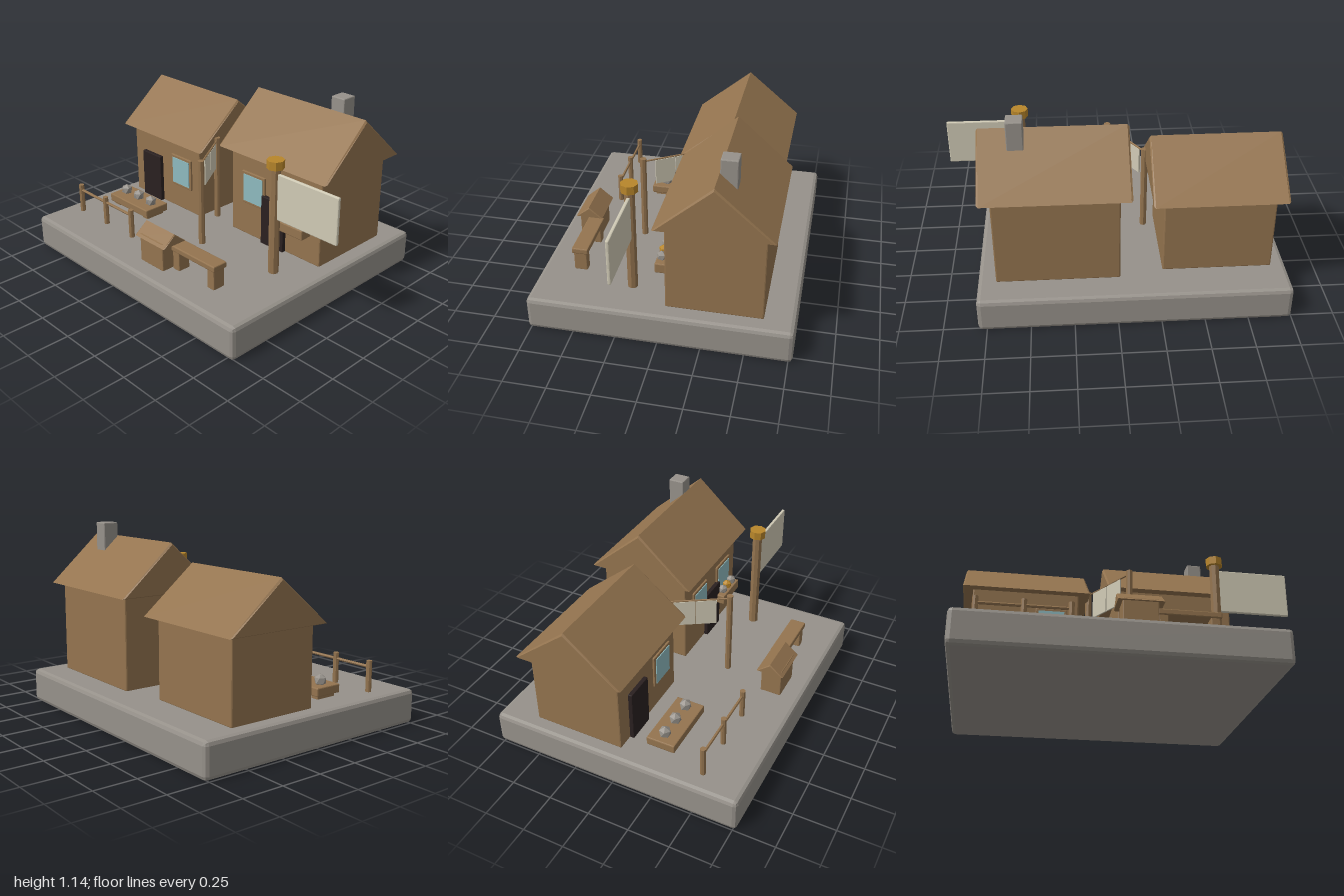
import * as THREE from 'three';
import { RoundedBoxGeometry } from 'three/addons/geometries/RoundedBoxGeometry.js';

const material = (name, color) => {
  const m = new THREE.MeshStandardMaterial({ color, flatShading: true });
  m.name = name;
  return m;
};

export function createModel() {
  const wood = material('brown wood', 0x94744f);
  const stone = material('grey stone', 0x96918a);
  const dark = material('dark door', 0x2a2020);
  const glass = material('pale blue glass', 0x8ebabf);
  const gold = material('gold', 0xb8862b);
  const cloth = material('cream cloth', 0xd0cab5);
  const model = new THREE.Group();
  model.name = 'village';

  const add = (parent, name, geometry, mat, x = 0, y = 0, z = 0) => {
    const mesh = new THREE.Mesh(geometry, mat);
    mesh.name = name;
    mesh.position.set(x, y, z);
    parent.add(mesh);
    return mesh;
  };
  const group = (name) => {
    const g = new THREE.Group();
    g.name = name;
    model.add(g);
    return g;
  };
  // Chamfered box given by its bounds
  const box = (parent, name, mat, [x0, x1], [y0, y1], [z0, z1], bevel = 0.006) => {
    const w = x1 - x0, h = y1 - y0, d = z1 - z0;
    const geo = new RoundedBoxGeometry(w, h, d, 1, Math.min(bevel, w / 3, h / 3, d / 3));
    geo.computeVertexNormals();
    return add(parent, name, geo, mat, (x0 + x1) / 2, (y0 + y1) / 2, (z0 + z1) / 2);
  };
  const post = (parent, name, mat, r, x, z, y0, y1, sides = 8) =>
    add(parent, name, new THREE.CylinderGeometry(r, r, y1 - y0, sides), mat, x, (y0 + y1) / 2, z);
  // Solid gable roof with the ridge along x
  const gable = (parent, name, [x0, x1], [y0, y1], [z0, z1], bevel) => {
    const half = (z1 - z0) / 2;
    const shape = new THREE.Shape();
    shape.moveTo(-half, y0);
    shape.lineTo(half, y0);
    shape.lineTo(0, y1);
    shape.closePath();
    const geo = new THREE.ExtrudeGeometry(shape, {
      depth: x1 - x0 - 2 * bevel, bevelEnabled: true, bevelSegments: 1,
      bevelSize: bevel, bevelThickness: bevel, bevelOffset: -bevel,
    });
    geo.translate(0, 0, bevel).rotateY(Math.PI / 2);
    add(parent, name, geo, wood, x0, 0, (z0 + z1) / 2);
  };
  const bloom = (parent, mat, r, x, y, z) => {
    const geo = new THREE.IcosahedronGeometry(r, 0).rotateX(-1.017);
    add(parent, 'flower', geo, mat, x, y, z);
  };
  const addWindow = (parent, x, y, z) => {
    box(parent, 'windowFrame', wood, [x - 0.095, x + 0.095], [y - 0.105, y + 0.105], [z - 0.01, z + 0.012], 0.004);
    add(parent, 'windowGlass', new THREE.BoxGeometry(0.155, 0.175, 0.008), glass, x, y, z + 0.013);
  };

  // Ground slab
  box(model, 'base', stone, [-1, 0.8], [0, 0.205], [-0.775, 0.77], 0.025);

  // Low house
  const low = group('lowHouse');
  box(low, 'walls', wood, [-0.91, -0.27], [0.2, 0.69], [-0.54, 0.02], 0.008);
  gable(low, 'roof', [-0.97, -0.205], [0.675, 0.95], [-0.595, 0.07], 0.01);
  box(low, 'door', dark, [-0.81, -0.63], [0.2, 0.52], [0.0, 0.045], 0.004);
  addWindow(low, -0.435, 0.468, 0.02);

  // Tall house
  const tall = group('tallHouse');
  box(tall, 'walls', wood, [-0.02, 0.695], [0.2, 0.77], [-0.595, -0.03], 0.008);
  gable(tall, 'roof', [-0.085, 0.762], [0.755, 1.055], [-0.645, 0.025], 0.01);
  box(tall, 'chimney', stone, [0.5, 0.595], [0.9, 1.137], [-0.41, -0.312], 0.006);
  box(tall, 'door', dark, [0.25, 0.43], [0.2, 0.52], [-0.05, -0.005], 0.004);
  for (const x of [0.17, 0.505]) addWindow(tall, x, 0.525, -0.03);
  box(tall, 'windowBox', wood, [0.39, 0.62], [0.375, 0.437], [-0.035, 0.045]);
  [stone, gold, stone].forEach((m, i) => bloom(tall, m, 0.032, 0.44 + i * 0.063, 0.46, 0.012));

  // Banner post
  const banner = group('bannerPost');
  post(banner, 'pole', wood, 0.031, 0.545, 0.195, 0.2, 0.86);
  post(banner, 'cap', gold, 0.051, 0.545, 0.195, 0.855, 0.905);
  box(banner, 'flag', cloth, [0.565, 0.995], [0.548, 0.827], [0.185, 0.205]);

  // Washing line with two hanging cloths
  const line = group('washingLine');
  const a = new THREE.Vector3(-0.2, 0.73, -0.07), b = new THREE.Vector3(0.005, 0.73, 0.255);
  for (const p of [a, b]) post(line, 'linePost', wood, 0.02, p.x, p.z, 0.2, 0.75);
  add(line, 'rope', new THREE.TubeGeometry(new THREE.LineCurve3(a, b), 1, 0.006, 6), wood);
  for (const t of [0.29, 0.63]) {
    const p = a.clone().lerp(b, t);
    const sheet = add(line, 'cloth', new THREE.BoxGeometry(0.125, 0.165, 0.01), cloth, p.x, 0.642, p.z);
    sheet.rotation.y = -Math.atan2(b.z - a.z, b.x - a.x);
  }

  // Flower tray
  const tray = group('flowerTray');
  box(tray, 'tray', wood, [-0.835, -0.455], [0.225, 0.277], [0.14, 0.315]);
  for (const x of [-0.79, -0.5]) box(tray, 'foot', wood, [x - 0.025, x + 0.025], [0.2, 0.235], [0.16, 0.295], 0.004);
  for (const x of [-0.77, -0.645, -0.52]) bloom(tray, stone, 0.038, x, 0.298, 0.225);

  // Fence
  const fence = group('fence');
  for (const x of [-0.875, -0.615, -0.357]) post(fence, 'fencePost', wood, 0.017, x, 0.512, 0.2, 0.39);
  const rail = add(fence, 'rail', new THREE.CylinderGeometry(0.009, 0.009, 0.52, 6), wood, -0.616, 0.353, 0.512);
  rail.rotation.z = Math.PI / 2;

  // Small roofed box
  const hut = group('roofedBox');
  box(hut, 'body', wood, [-0.097, 0.103], [0.2, 0.38], [0.52, 0.648]);
  gable(hut, 'roof', [-0.123, 0.135], [0.362, 0.432], [0.497, 0.663], 0.006);

  // Bench
  const bench = group('bench');
  box(bench, 'seat', wood, [0.11, 0.467], [0.322, 0.357], [0.49, 0.588]);
  for (const x of [0.14, 0.43]) box(bench, 'leg', wood, [x - 0.027, x + 0.027], [0.2, 0.33], [0.5, 0.58]);

  return model;
}
